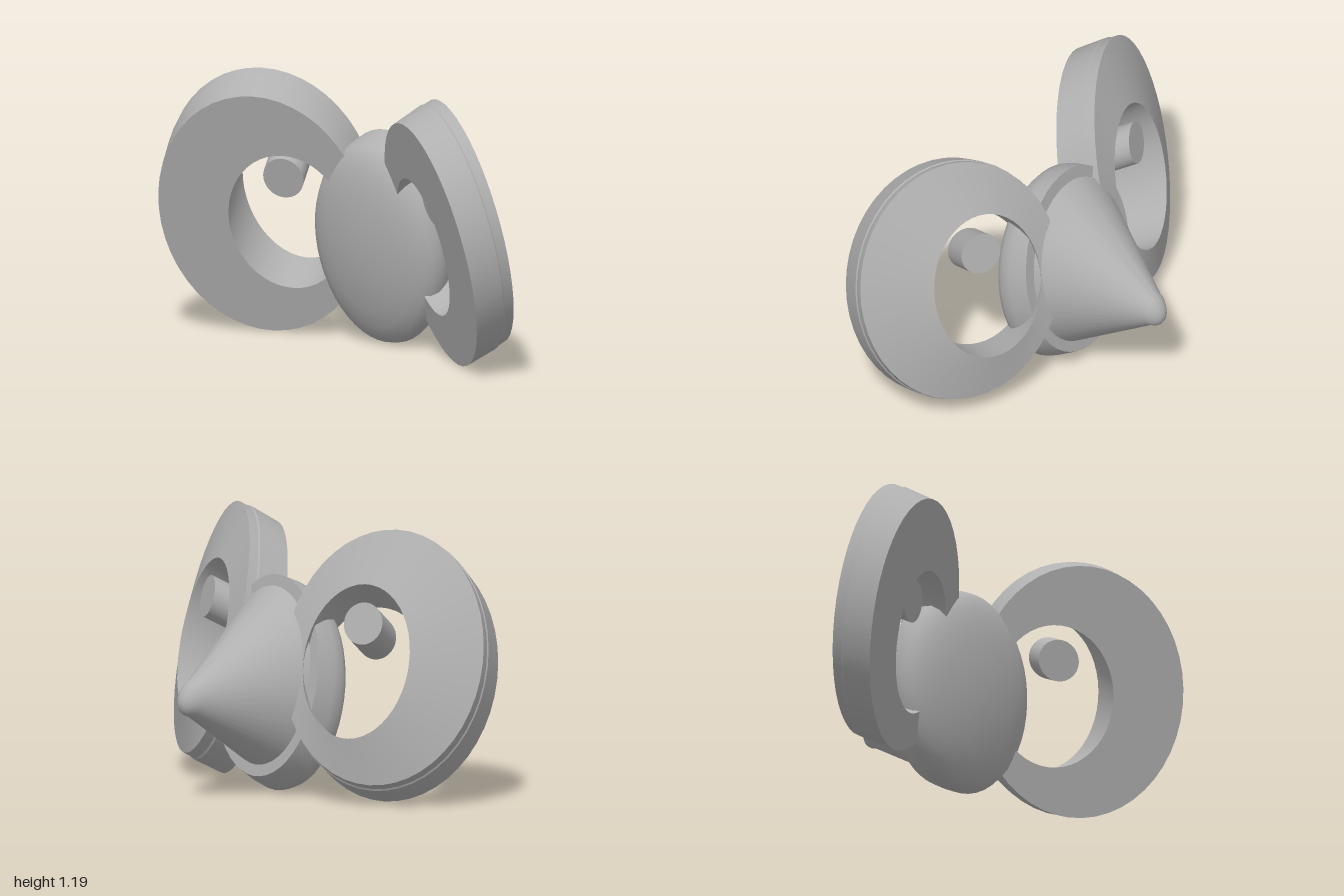
import * as THREE from 'three';
import { toCreasedNormals } from 'three/addons/utils/BufferGeometryUtils.js';

const grey = new THREE.MeshStandardMaterial({ color: 0xb0b0b0 });
grey.name = 'grey';
const SEG = 48;

// Skin of elliptical loops in a skewed frame: centre c, radii u and v, depth d.
// Each profile entry is [radius, depth, centreA, centreB, radiusB, tilt], running back to front.
function skin({ c, u, v, d }, profile, crease = 0.5) {
  const point = ([r, w, a0 = 0, b0 = 0, rb = r, tilt = 0], j) => {
    const t = (j / SEG) * Math.PI * 2;
    const a = a0 + r * Math.cos(t), b = b0 + rb * Math.sin(t), depth = w + tilt * Math.cos(t);
    return [0, 1, 2].map(k => c[k] + a * u[k] + b * v[k] + depth * d[k]);
  };
  const pos = [];
  for (let i = 0; i + 1 < profile.length; i++) {
    const p = profile[i], q = profile[i + 1];
    for (let j = 0; j < SEG; j++) {
      if (p[0] > 0) pos.push(...point(p, j), ...point(q, j), ...point(p, j + 1));
      if (q[0] > 0) pos.push(...point(q, j), ...point(q, j + 1), ...point(p, j + 1));
    }
  }
  const geo = new THREE.BufferGeometry();
  geo.setAttribute('position', new THREE.Float32BufferAttribute(pos, 3));
  return toCreasedNormals(geo, crease);
}

// Mirror across z = 0 and restore the winding
function mirrorZ(geo) {
  const src = geo.attributes.position, pos = [];
  for (let i = 0; i < src.count; i += 3)
    for (const k of [i, i + 2, i + 1]) pos.push(src.getX(k), src.getY(k), -src.getZ(k));
  const out = new THREE.BufferGeometry();
  out.setAttribute('position', new THREE.Float32BufferAttribute(pos, 3));
  return toCreasedNormals(out, 0.5);
}

export function createModel() {
  const model = new THREE.Group();
  model.name = 'model';
  const add = (name, geo) => {
    const mesh = new THREE.Mesh(geo, grey);
    mesh.name = name;
    model.add(mesh);
  };

  // Central body: tilted oval with a rounded, domed back
  add('body', skin(
    { c: [0.042, 0.517, 0], u: [0, 0, 0.355], v: [-0.072, 0.437, 0], d: [-0.15, -0.08, 0] },
    [[0, 1.55], [0.3, 1.52], [0.55, 1.43], [0.75, 1.31], [0.88, 1.17], [0.97, 1.01],
      [1.02, 0.8], [1.02, 0.5], [0.95, 0, 0, 0, 1], [0, 0]], 0.75));

  // Oval nose cone with a rounded tip
  add('noseCone', skin(
    { c: [0.058, 0.517, 0], u: [0, 0, 0.295], v: [-0.058, 0.388, 0], d: [-0.477, 0.067, 0] },
    [[1, 0.02], [0.23, -0.86, 0, 0, 0.215], [0.195, -0.915, 0, 0, 0.185], [0.15, -0.95],
      [0.1, -0.98], [0.05, -0.995], [0, -1]], 0.75));

  // Angled side ring: off-centre hole, with the face rising towards it
  const ring = skin(
    { c: [-0.135, 0.645, 0.58], u: [-0.213, 0, 0.417], v: [-0.123, 0.545, -0.05], d: [-0.15, -0.095, -0.08] },
    [[1, 1], [1.01, 0.27], [1, 0.24], [1, 0],
      [0.555, -0.3, -0.22, -0.08, 0.605, -0.15], [0.57, 1, -0.24, -0.06, 0.565], [1, 1]]);

  // Short peg floating in the hole
  const peg = skin(
    { c: [-0.065, 0.795, 0.525], u: [-0.038, 0, 0.084], v: [-0.02, 0.09, -0.008], d: [-0.15, -0.09, -0.085] },
    [[0, 1], [1, 1], [1, 0], [0, 0]]);

  add('frontRing', ring);
  add('backRing', mirrorZ(ring));
  add('frontPeg', peg);
  add('backPeg', mirrorZ(peg));
  return model;
}
